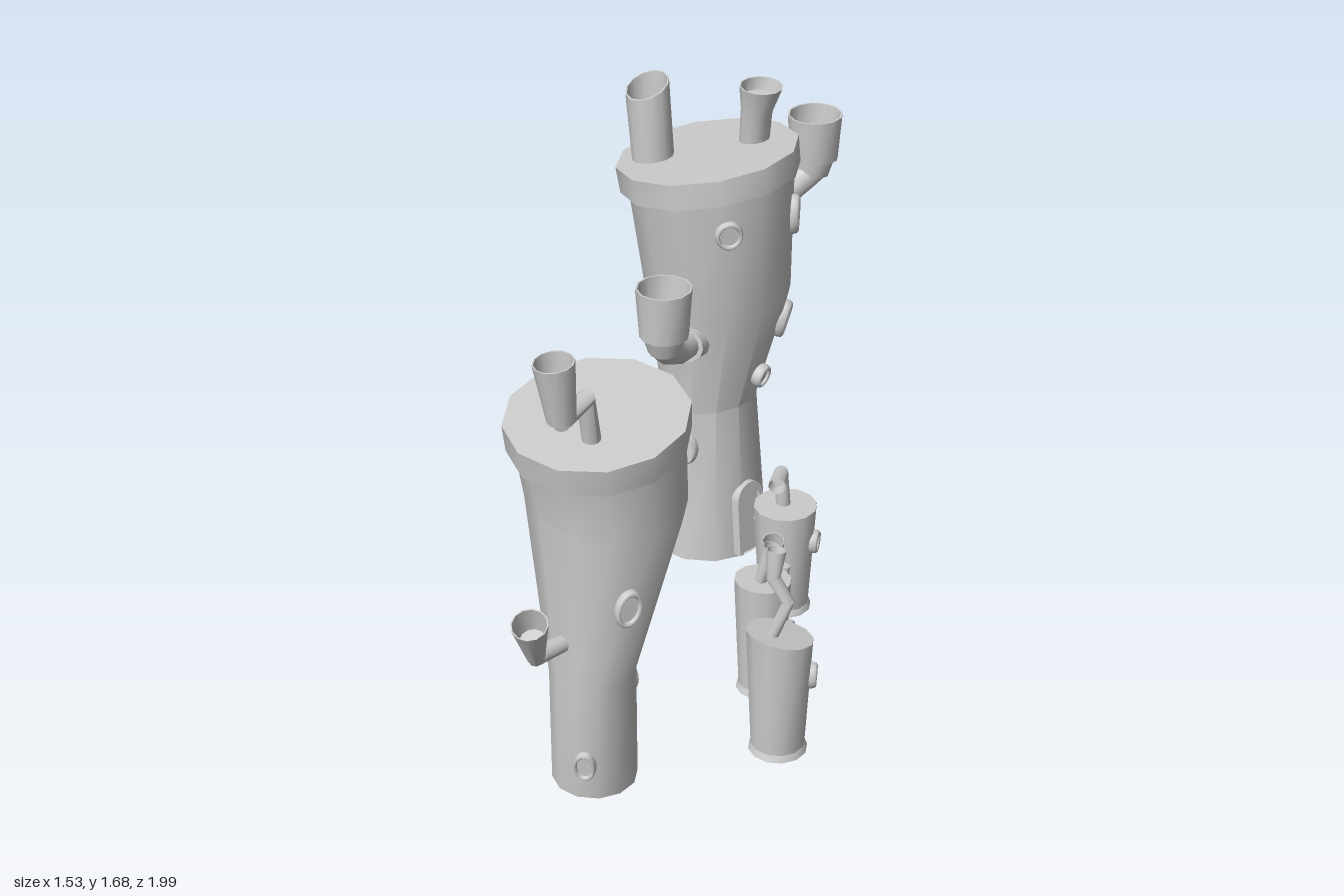
import * as THREE from 'three';
import { toCreasedNormals } from 'three/addons/utils/BufferGeometryUtils.js';

const V = (x, y, z) => new THREE.Vector3(x, y, z);
const grey = new THREE.MeshStandardMaterial({ color: 0xcccccc });

function mesh(name, geometry, parent) {
  const m = new THREE.Mesh(geometry, grey);
  m.name = name;
  parent.add(m);
  return m;
}

// Skin circular rings { c: centre, n: normal, r: radius } and close both ends.
function loft(rings, sides = 12) {
  const pos = [], index = [];
  let u = Math.abs(rings[0].n.x) < 0.9 ? V(1, 0, 0) : V(0, 0, 1);
  for (const { c, n, r } of rings) {
    u = u.clone().addScaledVector(n, -u.dot(n)).normalize();
    const v = n.clone().cross(u);
    for (let j = 0; j < sides; j++) {
      const a = (j / sides) * Math.PI * 2;
      const p = c.clone().addScaledVector(u, r * Math.cos(a)).addScaledVector(v, r * Math.sin(a));
      pos.push(p.x, p.y, p.z);
    }
  }
  const last = (rings.length - 1) * sides;
  for (let i = 0; i < rings.length - 1; i++) {
    for (let j = 0; j < sides; j++) {
      const a = i * sides + j, b = i * sides + ((j + 1) % sides);
      index.push(a, b, b + sides, a, b + sides, a + sides);
    }
  }
  for (let j = 1; j < sides - 1; j++) {
    index.push(0, j + 1, j, last, last + j, last + j + 1);
  }
  const g = new THREE.BufferGeometry();
  g.setAttribute('position', new THREE.Float32BufferAttribute(pos, 3));
  g.setIndex(index);
  return toCreasedNormals(g, 0.6);
}

// Upright rings from rows [x, y, z, radius, slope along x, slope along z].
const upright = rows => rows.map(([x, y, z, r, sx = 0, sz = 0]) =>
  ({ c: V(x, y, z), r, n: V(-sx, 1, -sz).normalize() }));

// Mitred pipe through rows [x, y, z, radius]; a hollow one gets an open mouth.
function pipe(name, rows, parent, { hollow = false, mouth = null } = {}) {
  const pts = rows.map(p => V(p[0], p[1], p[2]));
  const dir = i => pts[i + 1].clone().sub(pts[i]).normalize();
  const end = pts.length - 1;
  const rings = pts.map((c, i) => ({
    c, r: rows[i][3],
    n: dir(Math.max(i - 1, 0)).add(dir(Math.min(i, end - 1))).normalize(),
  }));
  if (mouth) rings[end].n = mouth.clone().normalize();
  if (hollow) {
    const { c, n, r } = rings[end];
    const deep = c.clone().lerp(pts[end - 1], 0.5);
    rings.push({ c, n, r: r * 0.93 }, { c: deep, n, r: (r + rings[end - 1].r) * 0.45 });
  }
  return mesh(name, loft(rings), parent);
}

// Point on a tower wall at a height and compass angle (0 = +x, 90 = +z).
function wallPoint(rows, deg, y) {
  const a = THREE.MathUtils.degToRad(deg);
  let i = 0;
  while (i < rows.length - 2 && y > rows[i + 1][1]) i++;
  const t = (y - rows[i][1]) / (rows[i + 1][1] - rows[i][1]);
  const [x, , z, r] = rows[i].map((q, k) => q + ((rows[i + 1][k] ?? q) - q) * t);
  return V(x + r * 0.98 * Math.cos(a), y, z + r * 0.98 * Math.sin(a));
}

// Group on the wall whose +z points outwards and +y runs up the wall.
function wallMount(name, rows, deg, y, parent) {
  const a = THREE.MathUtils.degToRad(deg);
  const up = wallPoint(rows, deg, y + 0.01).sub(wallPoint(rows, deg, y - 0.01)).normalize();
  const out = up.clone().cross(V(-Math.sin(a), 0, Math.cos(a))).normalize();
  const g = new THREE.Group();
  g.name = name;
  g.position.copy(wallPoint(rows, deg, y));
  g.quaternion.setFromRotationMatrix(new THREE.Matrix4().makeBasis(up.clone().cross(out), up, out));
  parent.add(g);
  return g;
}

function porthole(rows, [deg, y, rx, ry], parent) {
  const g = wallMount('window', rows, deg, y, parent);
  mesh('windowFrame', new THREE.TorusGeometry(0.82, 0.18, 8, 20), g).scale.set(rx, ry, 0.11);
  const pane = mesh('windowPane', new THREE.CircleGeometry(0.82, 20), g);
  pane.scale.set(rx, ry, 1);
  pane.position.z = 0.008;
}

function archShape(Path, w, h) {
  const s = new Path();
  s.moveTo(-w, 0);
  s.lineTo(w, 0);
  s.lineTo(w, h - w);
  s.absarc(0, h - w, w, 0, Math.PI, false);
  s.closePath();
  return s;
}

function door(rows, deg, parent) {
  const g = wallMount('door', rows, deg, 0.012, parent);
  const outline = archShape(THREE.Shape, 0.06, 0.26);
  outline.holes.push(archShape(THREE.Path, 0.043, 0.24));
  const opts = depth => ({ depth, bevelEnabled: false, curveSegments: 8 });
  mesh('doorFrame', new THREE.ExtrudeGeometry(outline, opts(0.04)), g).position.z = -0.022;
  mesh('doorPanel', new THREE.ExtrudeGeometry(archShape(THREE.Shape, 0.045, 0.245), opts(0.03)), g).position.z = -0.022;
  mesh('doorKnob', new THREE.SphereGeometry(0.008, 8, 6), g).position.set(0.025, 0.11, 0.013);
}

// Elbow chimney growing out of a wall: flange, bent pipe, collar and pot.
function wallChimney(rows, deg, y, [px, pz], [yCollar, yPot, yTop], parent) {
  const s = wallPoint(rows, deg, y);
  const at = (t, h, r) => [s.x + (px - s.x) * t, h, s.z + (pz - s.z) * t, r];
  pipe('flange', [at(-0.12, y, 0.065), at(0.14, y + 0.004, 0.06)], parent);
  pipe('elbowPipe', [at(0, y, 0.045), at(0.45, y + 0.015, 0.045), at(0.85, y + 0.055, 0.047), at(1, yCollar + 0.02, 0.05)], parent);
  pipe('collar', [at(0.95, yCollar, 0.057), at(1, yPot + 0.01, 0.071)], parent);
  pipe('pot', [at(1, yPot, 0.08), at(1, yTop, 0.092)], parent, { hollow: true });
}

function group(name, parent) {
  const g = new THREE.Group();
  g.name = name;
  parent.add(g);
  return g;
}

export function createModel() {
  const model = new THREE.Group();
  model.name = 'chimneyVillage';

  // Tall tower
  const tall = group('tallTower', model);
  const tallWall = [
    [-0.463, 0, -0.462, 0.205], [-0.465, 0.515, -0.475, 0.158, 0.25, 0],
    [-0.445, 0.93, -0.492, 0.24, 0.08, 0], [-0.455, 1.37, -0.467, 0.275, 0.17, -0.07],
  ];
  mesh('body', loft(upright(tallWall)), tall);
  mesh('lid', loft(upright([[-0.457, 1.347, -0.464, 0.296, 0.15, -0.07], [-0.47, 1.433, -0.46, 0.3, 0.15, -0.07]])), tall);
  pipe('roofChimney', [[-0.588, 1.36, -0.335, 0.068], [-0.61, 1.648, -0.325, 0.075]], tall, { hollow: true, mouth: V(0, 1, 0.45) });
  pipe('roofChimney', [[-0.427, 1.4, -0.615, 0.049], [-0.412, 1.56, -0.615, 0.052], [-0.393, 1.645, -0.617, 0.071]], tall, { hollow: true, mouth: V(0.05, 1, 0) });
  wallChimney(tallWall, 62, 0.84, [-0.25, -0.12], [0.91, 0.965, 1.135], tall);
  wallChimney(tallWall, -97, 1.18, [-0.47, -0.91], [1.235, 1.29, 1.445], tall);
  for (const w of [
    [27, 1.26, 0.046, 0.05], [-47, 1.225, 0.047, 0.07], [-39, 0.855, 0.047, 0.07], [-22, 0.66, 0.04, 0.042],
    [65, 0.41, 0.04, 0.058], [-168, 0.95, 0.045, 0.06], [-135, 0.24, 0.04, 0.055],
  ]) porthole(tallWall, w, tall);
  door(tallWall, -8, tall);

  // Bent tower
  const bent = group('bentTower', model);
  const bentWall = [
    [0.425, 0, 0.652, 0.13], [0.457, 0.412, 0.675, 0.129],
    [0.365, 0.91, 0.55, 0.24, -0.1, 0.06], [0.376, 1.13, 0.577, 0.249, -0.07, -0.13],
  ];
  mesh('body', loft(upright(bentWall)), bent);
  mesh('lid', loft(upright([[0.382, 1.128, 0.585, 0.268, -0.07, -0.13], [0.387, 1.215, 0.595, 0.272, -0.07, -0.13]])), bent);
  pipe('roofPipe', [[0.468, 1.17, 0.668, 0.028], [0.488, 1.345, 0.703, 0.03], [0.53, 1.335, 0.81, 0.035], [0.53, 1.38, 0.818, 0.038]], bent);
  pipe('roofPot', [[0.53, 1.335, 0.813, 0.042], [0.53, 1.522, 0.835, 0.06]], bent, { hollow: true });
  pipe('wallChimney', [[0.462, 0.55, 0.76, 0.026], [0.483, 0.56, 0.89, 0.031], [0.526, 0.71, 0.938, 0.055]], bent, { hollow: true });
  for (const w of [
    [10, 0.68, 0.042, 0.062], [48, 0.13, 0.035, 0.053], [168, 0.51, 0.04, 0.06],
    [-90, 0.32, 0.035, 0.052], [-135, 0.82, 0.042, 0.06], [-135, 0.085, 0.032, 0.05],
  ]) porthole(bentWall, w, bent);

  // Small houses: x, z, height, base and top radii, roof slope along z, window, pipes
  const houses = [
    {
      x: 0.054, z: -0.383, h: 0.385, r: [0.083, 0.104], slope: 0, window: [-38, 0.26, 0.034, 0.042],
      roof: [[0.042, 0.37, -0.385, 0.024], [0.042, 0.505, -0.372, 0.024], [0.11, 0.512, -0.3, 0.029]],
      side: [[0.08, 0.21, -0.34, 0.018], [0.138, 0.21, -0.27, 0.022], [0.172, 0.36, -0.238, 0.036]],
    },
    {
      x: 0.374, z: -0.033, h: 0.402, r: [0.073, 0.09], slope: 0.05, window: [-35, 0.23, 0.031, 0.034],
      roof: [[0.375, 0.39, -0.02, 0.018], [0.402, 0.53, -0.045, 0.028]],
      side: [[0.34, 0.205, -0.08, 0.017], [0.29, 0.205, -0.165, 0.02], [0.275, 0.34, -0.188, 0.03]],
    },
    {
      x: 0.655, z: 0.127, h: 0.415, r: [0.084, 0.105], slope: 0.24, window: [-48, 0.27, 0.034, 0.044],
      roof: [[0.65, 0.41, 0.155, 0.018], [0.683, 0.54, 0.12, 0.02], [0.642, 0.615, 0.145, 0.022], [0.636, 0.705, 0.13, 0.03]],
      side: [[0.62, 0.215, 0.09, 0.026], [0.53, 0.215, 0.008, 0.031]],
    },
  ];
  for (const { x, z, h, r, slope, window, roof, side } of houses) {
    const house = group('smallHouse', model);
    const wall = [[x, 0.022, z, r[0]], [x, h, z, r[1], 0, slope]];
    mesh('body', loft(upright(wall)), house);
    mesh('foot', loft(upright([[x, 0, z, r[0] + 0.008], [x, 0.022, z, r[0]]])), house);
    pipe('roofChimney', roof, house, { hollow: true });
    pipe('wallChimney', side, house, { hollow: true });
    porthole(wall, window, house);
  }
  return model;
}
